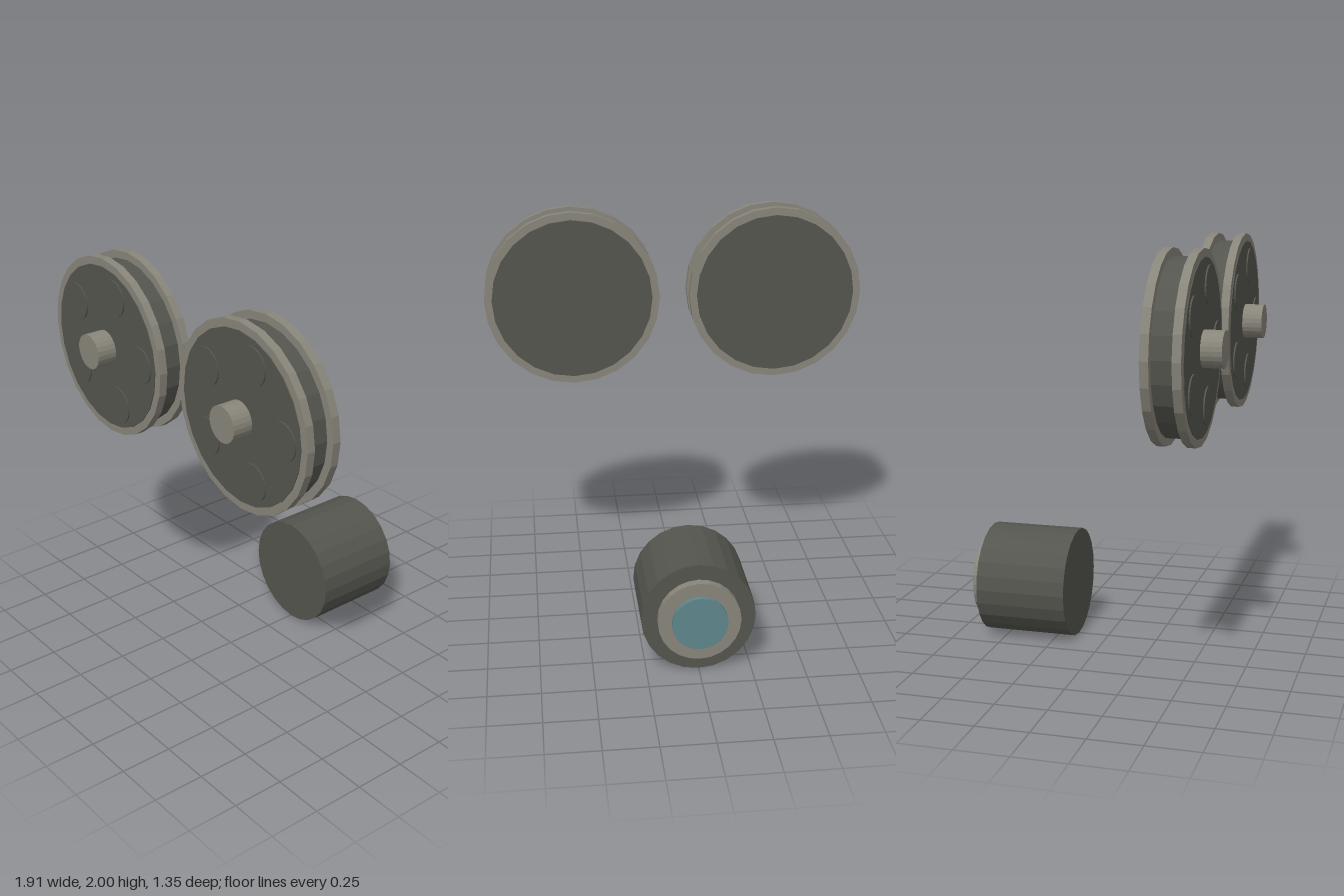
import * as THREE from 'three';

const paint = (name, color) => {
  const m = new THREE.MeshStandardMaterial({ color });
  m.name = name;
  return m;
};

export function createModel() {
  const darkMetal = paint('dark metal', 0x55554f);
  const paleMetal = paint('pale metal', 0x88857a);
  const blueGlass = paint('blue glass', 0x5f868c);

  // Faceted disc lying along z between two depths
  function disc(parent, name, material, radius, z0, z1, x = 0, y = 0, sides = 24) {
    const geometry = new THREE.CylinderGeometry(radius, radius, z1 - z0, sides)
      .rotateX(Math.PI / 2)
      .toNonIndexed();
    geometry.computeVertexNormals();
    const mesh = new THREE.Mesh(geometry, material);
    mesh.name = name;
    mesh.position.set(x, y, (z0 + z1) / 2);
    parent.add(mesh);
  }

  const model = new THREE.Group();
  model.name = 'reelsAndLens';

  // Two film reels
  for (const side of [-1, 1]) {
    const reel = new THREE.Group();
    reel.name = side < 0 ? 'rightReel' : 'leftReel';
    reel.position.set(side * 0.515, 1.56, 0);
    disc(reel, 'reelCore', darkMetal, 0.402, 0.387, 0.578);
    disc(reel, 'backRim', paleMetal, 0.44, 0.395, 0.435);
    disc(reel, 'frontRim', paleMetal, 0.44, 0.534, 0.574);
    disc(reel, 'hub', paleMetal, 0.085, 0.57, 0.675);
    // Ring of five raised pads on the front face
    for (let i = 0; i < 5; i++) {
      const a = (i / 5) * Math.PI * 2;
      disc(reel, 'reelPad', darkMetal, 0.09, 0.576, 0.585, 0.285 * Math.cos(a), 0.285 * Math.sin(a));
    }
    model.add(reel);
  }

  // Lens barrel, with its glass facing the back
  const lens = new THREE.Group();
  lens.name = 'lens';
  lens.position.y = 0.272;
  disc(lens, 'lensBarrel', darkMetal, 0.272, -0.605, -0.155);
  disc(lens, 'lensRing', paleMetal, 0.197, -0.65, -0.6);
  disc(lens, 'lensGlass', blueGlass, 0.132, -0.675, -0.645);
  model.add(lens);

  return model;
}
